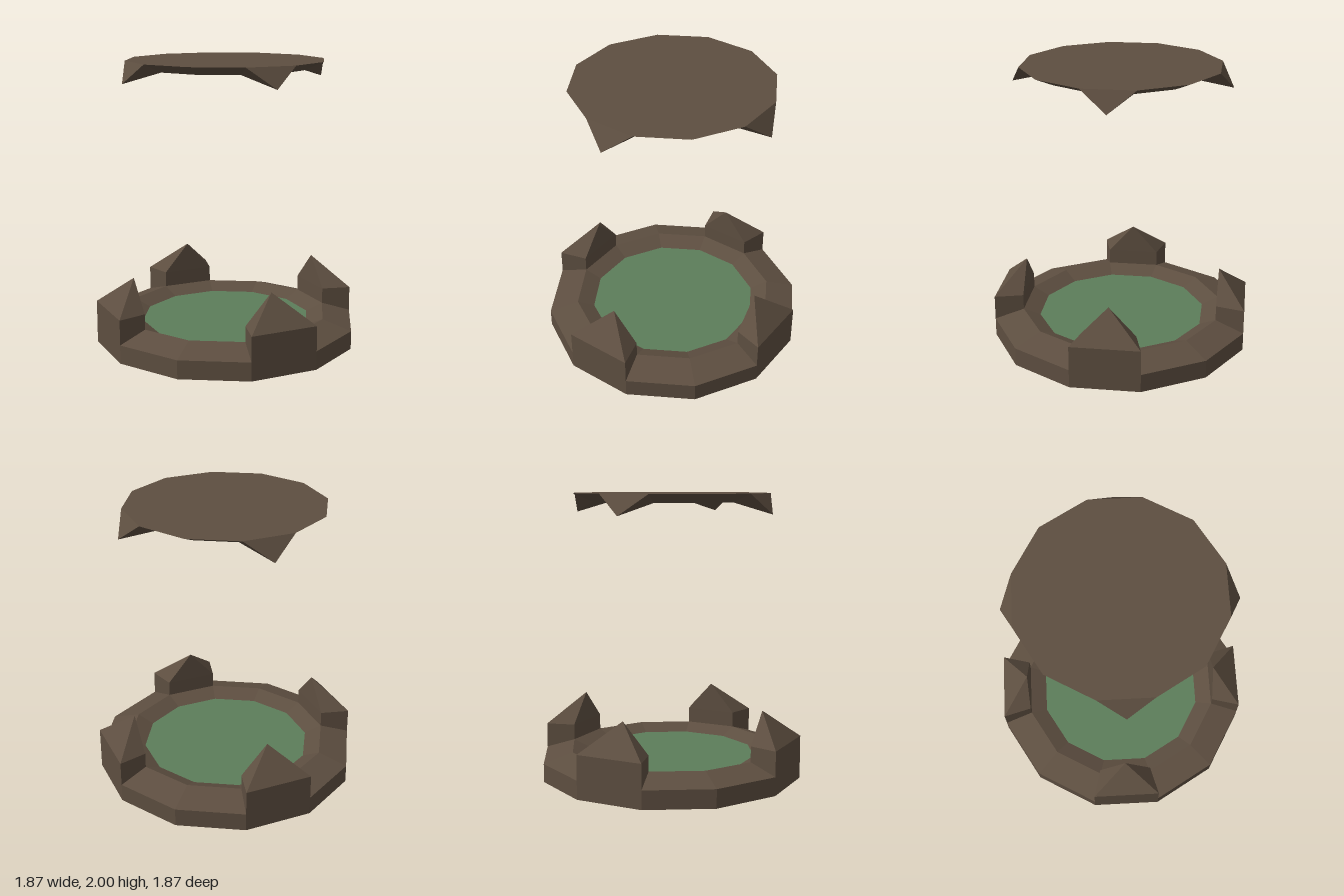
import * as THREE from 'three';

const stone = new THREE.MeshStandardMaterial({ name: 'brown stone', color: 0x5d4e40, flatShading: true });
const grass = new THREE.MeshStandardMaterial({ name: 'green floor', color: 0x5c7d5a, flatShading: true });

const SIDES = 12;

// Point on a twelve-sided ring; step counts corners from the front towards +x
const corner = (r, y, step) => {
  const a = (step / SIDES) * Math.PI * 2;
  return new THREE.Vector3(r * Math.sin(a), y, r * Math.cos(a));
};

function part(name, geometry, material) {
  const mesh = new THREE.Mesh(geometry, material);
  mesh.name = name;
  return mesh;
}

// Faceted ring from a profile of [radius, height], listed from the bottom up
const turned = (profile) =>
  new THREE.LatheGeometry(profile.map(([r, y]) => new THREE.Vector2(r, y)), SIDES);

// Walls between successive four-cornered rings, closed by a pointed tip
function pointed(rings, tip) {
  const pts = [];
  rings.slice(1).forEach((upper, k) => {
    const lower = rings[k];
    for (let i = 0; i < 4; i++) {
      const j = (i + 1) % 4;
      pts.push(lower[i], lower[j], upper[j], lower[i], upper[j], upper[i]);
    }
  });
  const last = rings[rings.length - 1];
  for (let i = 0; i < 4; i++) pts.push(last[i], last[(i + 1) % 4], tip);
  const geometry = new THREE.BufferGeometry().setFromPoints(pts);
  geometry.computeVertexNormals();
  return geometry;
}

// Four corners of one ring segment (outer pair, then inner pair)
const segment = (outerR, outerY, innerR, innerY) => [
  corner(outerR, outerY, 1), corner(outerR, outerY, 2),
  corner(innerR, innerY, 2), corner(innerR, innerY, 1),
];

export function createModel() {
  const model = new THREE.Group();
  model.name = 'arena';

  // Base wall with sloped rim, and the floor it encloses
  model.add(part('baseRing', turned([
    [0, 0], [0.933, 0], [0.933, 0.13], [0.725, 0.195], [0.605, 0.142],
  ]), stone));
  const floor = part('floor', new THREE.CircleGeometry(0.605, SIDES).rotateX(-Math.PI / 2), grass);
  floor.position.y = 0.142;
  model.add(floor);

  // Floating canopy
  model.add(part('canopy', turned([[0, 1.94], [0.56, 1.94], [0.7, 2], [0, 2]]), stone));

  // Pointed towers on the base and matching fangs under the canopy
  const tower = pointed(
    [segment(0.933, 0.13, 0.725, 0.195), segment(0.933, 0.305, 0.725, 0.305)],
    new THREE.Vector3(0.5, 0.515, 0.5),
  );
  const fang = pointed(
    [segment(0.7, 2, 0.56, 1.94).reverse()],
    new THREE.Vector3(0.54, 1.86, 0.54),
  );
  for (let i = 0; i < 4; i++) {
    const towerMesh = part('tower', tower, stone);
    const fangMesh = part('canopyFang', fang, stone);
    towerMesh.rotation.y = fangMesh.rotation.y = (i * Math.PI) / 2;
    model.add(towerMesh, fangMesh);
  }

  return model;
}
